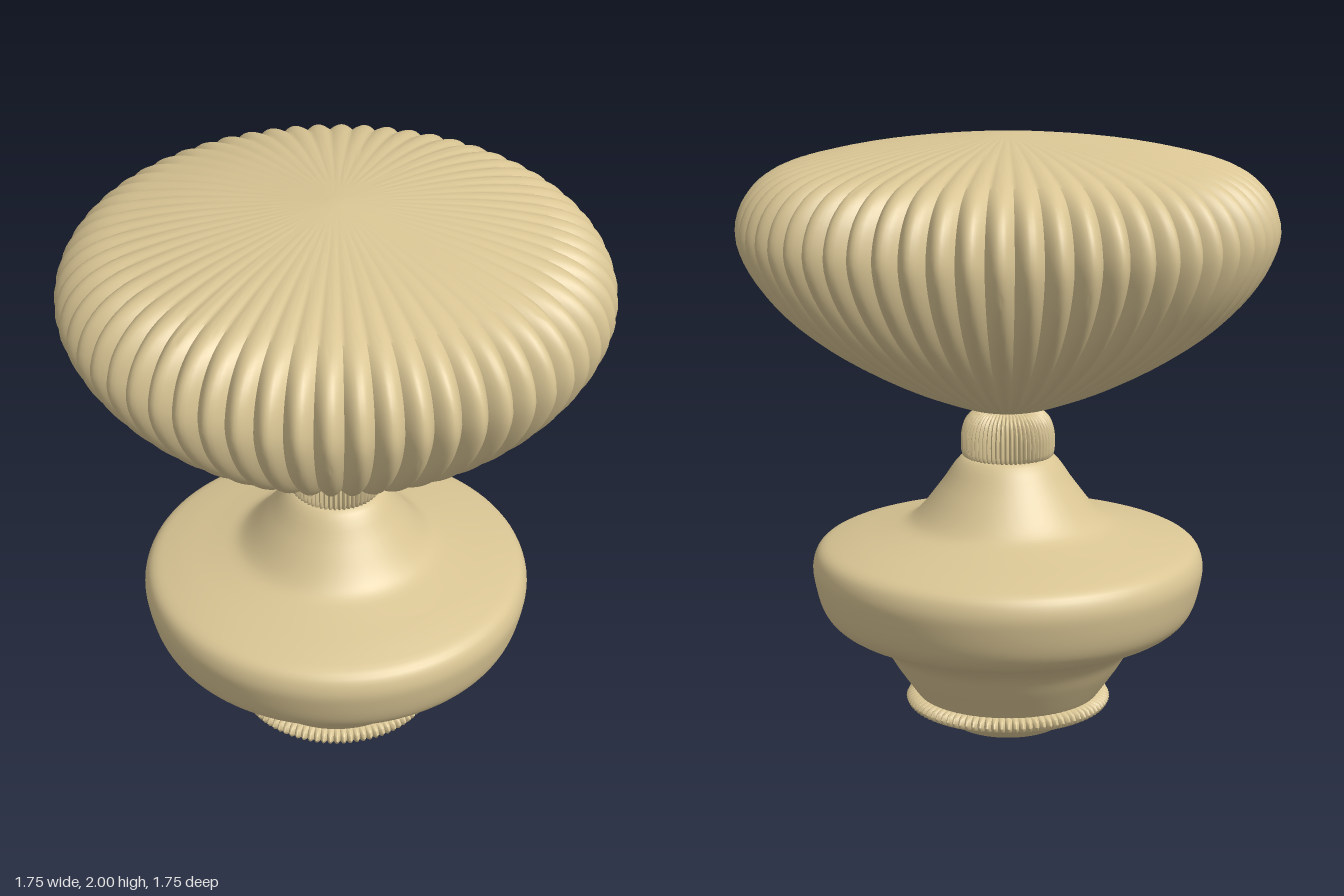
import * as THREE from 'three';
import { mergeVertices, toCreasedNormals } from 'three/addons/utils/BufferGeometryUtils.js';

const material = new THREE.MeshStandardMaterial({ color: 0xd9c594 });

// Smooth curve through [radius, height] pairs, listed bottom to top.
function profile(pairs, steps) {
  const curve = new THREE.CatmullRomCurve3(pairs.map(([r, y]) => new THREE.Vector3(r, y, 0)), false, 'centripetal');
  return curve.getPoints(steps).map((p) => new THREE.Vector2(Math.max(p.x, 0.0005), p.y));
}

// Turned part; with lobes > 0 the wall is pressed into rounded flutes with sharp valleys.
function turned(name, points, lobes = 0, depth = 0, perLobe = 8) {
  let geo = new THREE.LatheGeometry(points, lobes ? lobes * perLobe : 96);
  if (lobes) {
    const pos = geo.attributes.position;
    for (let i = 0; i < pos.count; i++) {
      const x = pos.getX(i), z = pos.getZ(i);
      const lobe = Math.abs(Math.cos(Math.atan2(x, z) * lobes / 2));
      const k = 1 - depth * (1 - lobe);
      pos.setXYZ(i, x * k, pos.getY(i), z * k);
    }
    geo.deleteAttribute('uv');
    geo.deleteAttribute('normal');
    geo = toCreasedNormals(mergeVertices(geo, 1e-5), 0.8);
  }
  const mesh = new THREE.Mesh(geo, material);
  mesh.name = name;
  return mesh;
}

export function createModel() {
  const group = new THREE.Group();
  group.name = 'flutedUrn';

  // Small flat foot
  const foot = [[0, 0.005], [0.15, 0.005], [0.185, 0.015], [0.215, 0.04], [0.245, 0.07], [0.25, 0.085]];
  group.add(turned('foot', foot.map(([r, y]) => new THREE.Vector2(r, y))));
  const footBase = new THREE.Mesh(new THREE.CylinderGeometry(0.15, 0.14, 0.006, 96), material);
  footBase.name = 'footBase';
  footBase.position.y = 0.003;
  group.add(footBase);

  // Beaded collar above the foot
  const collar = [[0.23, 0.072], [0.31, 0.076], [0.335, 0.088], [0.343, 0.103], [0.335, 0.118], [0.315, 0.128], [0.28, 0.13]];
  group.add(turned('beadedCollar', collar.map(([r, y]) => new THREE.Vector2(r, y)), 90, 0.045, 6));

  // Broad shouldered body tapering to the neck
  group.add(turned('body', profile([
    [0.29, 0.11], [0.31, 0.135], [0.37, 0.22], [0.42, 0.295], [0.49, 0.345], [0.575, 0.385],
    [0.615, 0.43], [0.642, 0.52], [0.647, 0.58], [0.625, 0.63], [0.55, 0.66], [0.41, 0.695],
    [0.335, 0.718], [0.295, 0.75], [0.22, 0.845], [0.15, 0.935], [0.1, 0.94],
  ], 70)));

  // Finely reeded neck
  group.add(turned('neck', profile([
    [0.11, 0.935], [0.148, 0.938], [0.155, 0.98], [0.153, 1.02], [0.14, 1.06], [0.115, 1.085], [0.08, 1.1],
  ], 16), 60, 0.07, 6));

  // Large fluted bowl with a shallow closed top
  group.add(turned('flutedBowl', profile([
    [0, 1.09], [0.1, 1.095], [0.24, 1.14], [0.38, 1.2], [0.56, 1.3], [0.695, 1.4], [0.79, 1.5],
    [0.852, 1.6], [0.876, 1.69], [0.853, 1.78], [0.8, 1.846], [0.73, 1.888], [0.62, 1.92],
    [0.47, 1.95], [0.25, 1.977], [0.1, 1.992], [0, 2],
  ], 48), 60, 0.05));

  return group;
}
